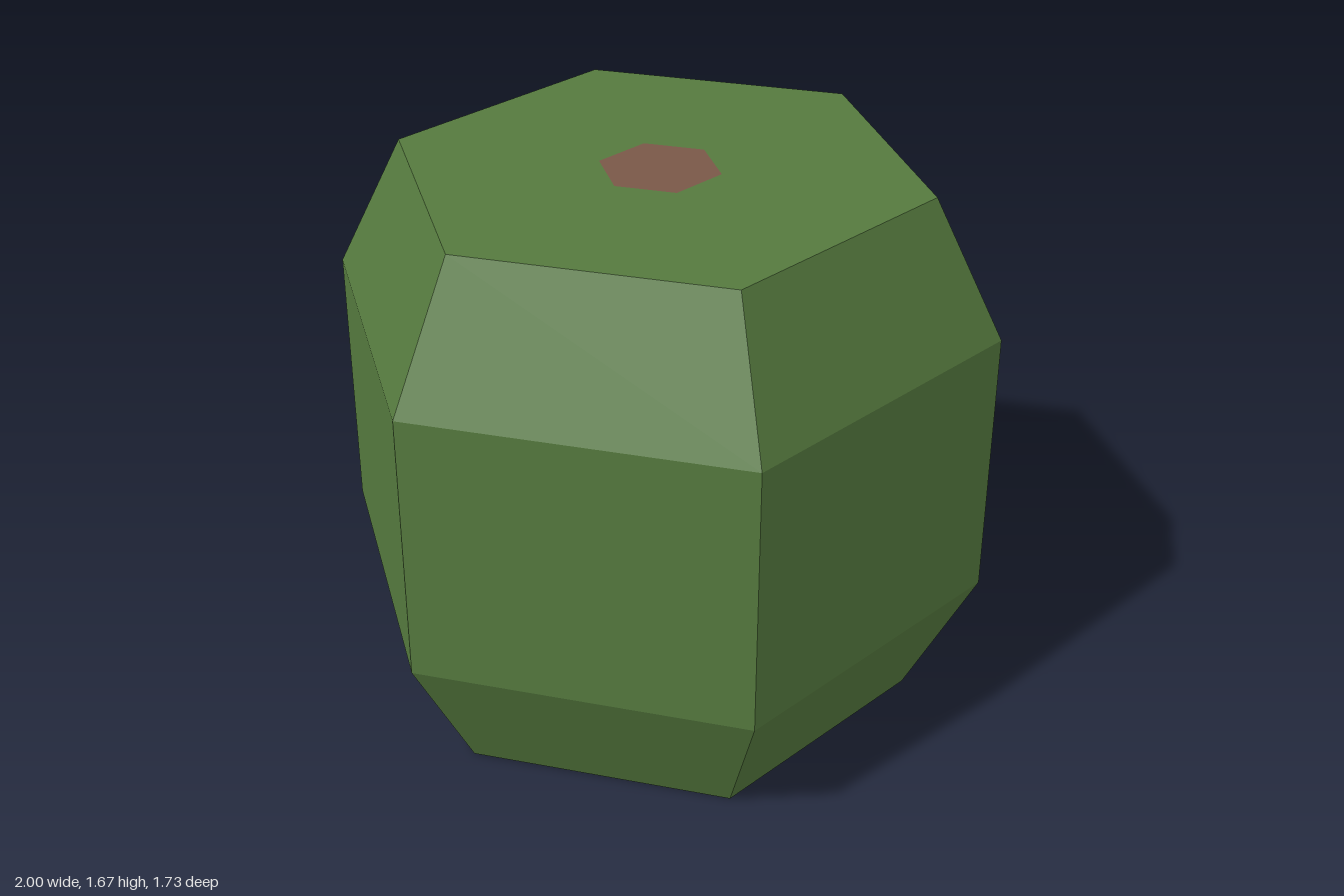
import * as THREE from 'three';

export function createModel() {
  const model = new THREE.Group();
  model.name = 'hexagonalBush';

  const leafGreen = new THREE.MeshStandardMaterial({ color: 0x557a3e, flatShading: true, side: THREE.DoubleSide });
  leafGreen.name = 'leafGreen';
  const barkBrown = new THREE.MeshStandardMaterial({ color: 0x7a5848, flatShading: true, side: THREE.DoubleSide });
  barkBrown.name = 'barkBrown';

  const height = 1.667;
  const patchRadius = 0.18;

  // Hollow six-sided shell: open bottom, tapered ends, flat top around the patch
  const profile = [
    [0.79, 0], [1, 0.417], [1, 1.25], [0.79, height], [patchRadius, height],
  ].map(([r, y]) => new THREE.Vector2(r, y));
  const shellGeometry = new THREE.LatheGeometry(profile, 6, Math.PI / 6).toNonIndexed();
  shellGeometry.computeVertexNormals();
  const shell = new THREE.Mesh(shellGeometry, leafGreen);
  shell.name = 'foliageShell';
  model.add(shell);

  // Hexagonal patch flush with the top
  const patch = new THREE.Mesh(new THREE.CircleGeometry(patchRadius, 6).rotateX(-Math.PI / 2), barkBrown);
  patch.name = 'topPatch';
  patch.position.y = height;
  model.add(patch);

  return model;
}
